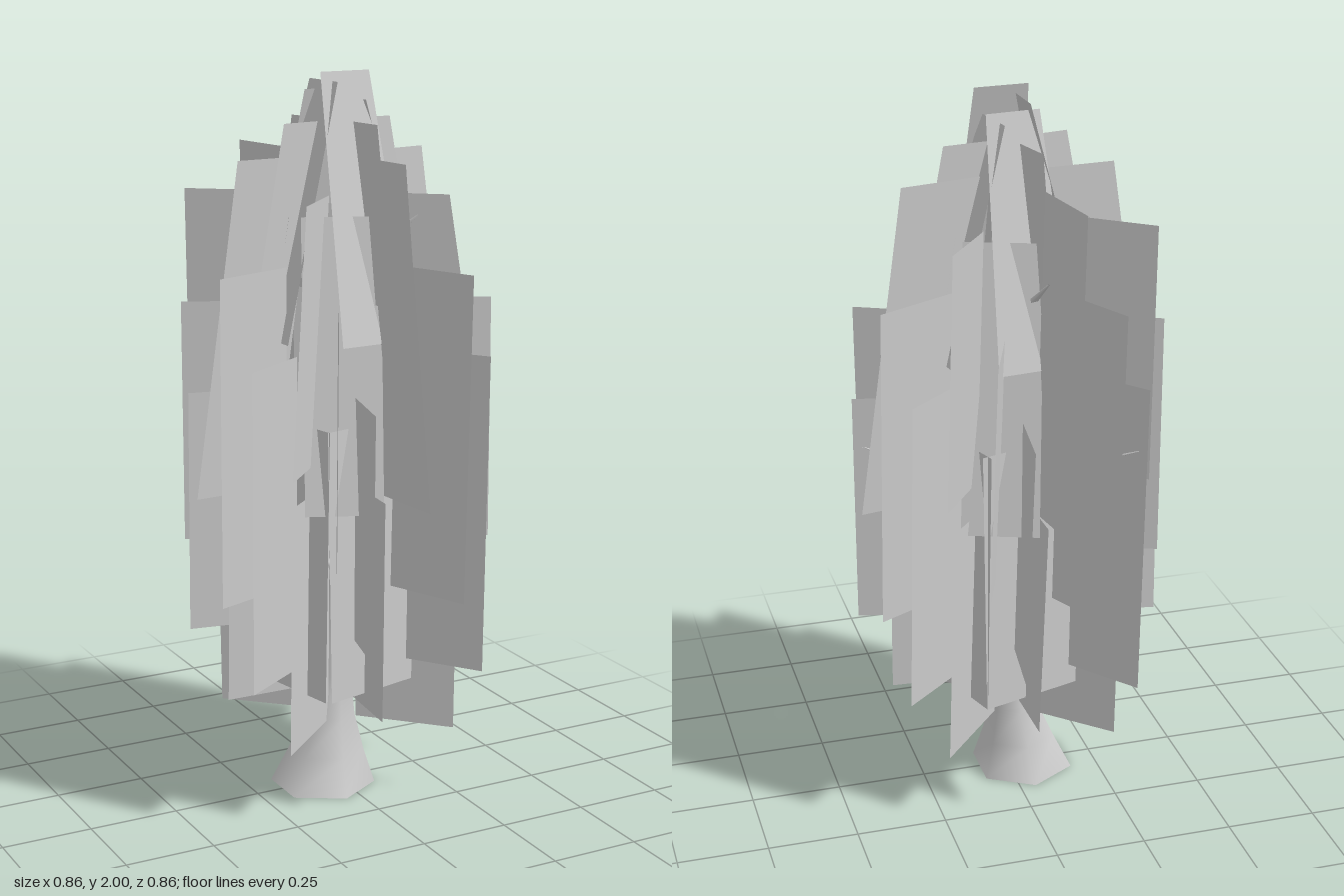
import * as THREE from 'three';

const leafMat = new THREE.MeshStandardMaterial({ color: 0xcccccc, side: THREE.DoubleSide });
const barkMat = new THREE.MeshStandardMaterial({ color: 0xcccccc, side: THREE.DoubleSide });

// flat four-cornered card, corners in order round the edge
function quad(name, corners) {
  const geo = new THREE.BufferGeometry();
  geo.setAttribute('position', new THREE.Float32BufferAttribute(corners.flat(), 3));
  geo.setIndex([0, 1, 2, 0, 2, 3]);
  geo.computeVertexNormals();
  const mesh = new THREE.Mesh(geo, leafMat);
  mesh.name = name;
  return mesh;
}

// point at radius r, height y, sideways offset t, for compass angle a
const polar = (a, r, y, t) => [
  r * Math.cos(a) - t * Math.sin(a), y, r * Math.sin(a) + t * Math.cos(a)
];

// upright card pointing away from the trunk
function radialCard(name, a, tilt, { inner, outer, y0, y1, lean = 0 }) {
  const h = tilt / 2;
  return quad(name, [
    polar(a, inner, y0, -h), polar(a, outer, y0, -h),
    polar(a, outer + lean, y1, h), polar(a, inner + lean, y1, h)
  ]);
}

// card facing outwards, across the radius
function facingCard(name, a, { r0, r1, y0, y1, w0, w1 }) {
  return quad(name, [
    polar(a, r0, y0, -w0), polar(a, r0, y0, w0), polar(a, r1, y1, w1), polar(a, r1, y1, -w1)
  ]);
}

// trunk or branch: smooth tapering rings along a bent line of [x, y, z, radius]
function limb(name, rings, sides) {
  const pos = [], idx = [];
  rings.forEach(([x, y, z, r], i) => {
    for (let j = 0; j < sides; j++) {
      const a = (j / sides) * Math.PI * 2 + Math.PI / 2;
      pos.push(x + r * Math.cos(a), y, z + r * Math.sin(a));
      if (i === 0) continue;
      const k = (j + 1) % sides, p = (i - 1) * sides, q = i * sides;
      idx.push(p + j, q + j, p + k, p + k, q + j, q + k);
    }
  });
  const geo = new THREE.BufferGeometry();
  geo.setAttribute('position', new THREE.Float32BufferAttribute(pos, 3));
  geo.setIndex(idx);
  geo.computeVertexNormals();
  const mesh = new THREE.Mesh(geo, barkMat);
  mesh.name = name;
  return mesh;
}

export function createModel() {
  const tree = new THREE.Group();
  tree.name = 'tree';

  // flared trunk
  tree.add(limb('trunk', [
    [-0.045, 0, 0, 0.147], [-0.034, 0.1, 0, 0.105], [-0.022, 0.2, 0, 0.07],
    [-0.012, 0.32, 0, 0.05], [0, 0.6, 0, 0.042], [0.02, 1.2, 0, 0.035], [0.01, 1.9, 0, 0.012]
  ], 6));

  // short tapering branches
  [[0.4, 1.05, 0], [-0.26, 1.1, -0.34], [0.2, 1.65, 0.16], [-0.22, 0.83, 0.1], [-0.04, 1.55, -0.25]]
    .forEach(([x, y, z]) => {
      tree.add(limb('branch', [[0.01, y - 0.25, 0, 0.03], [x * 0.5, y - 0.1, z * 0.5, 0.018], [x, y, z, 0.003]], 5));
    });

  // radial cards, each kind repeated at the four quarters: tip [x, z] sets the direction,
  // upright lists the quarters where a leaning kind stands straight
  const kinds = [
    { name: 'upperMiddleLeaf', tip: [0.17, 0.41], inner: 0.2, outer: 0.448, y0: 0.62, y1: 1.5 },
    { name: 'middleLeaf', tip: [0.26, 0.365], inner: 0.22, outer: 0.448, y0: 0.4, y1: 1.27 },
    { name: 'wideLeaf', tip: [0.38, 0.18], inner: 0.2, outer: 0.42, y0: 0.72, y1: 1.39 },
    { name: 'wideLowerLeaf', tip: [0.41, 0.09], inner: 0.17, outer: 0.42, y0: 0.49, y1: 1.16 },
    { name: 'lowestLeaf', tip: [0.24, 0.25], inner: 0.06, outer: 0.345, y0: 0.2, y1: 0.89 },
    { name: 'lowLeaf', tip: [0.33, 0.02], inner: 0.1, outer: 0.33, y0: 0.29, y1: 0.9 },
    { name: 'highLeaf', tip: [0.05, 0.43], inner: 0.2, outer: 0.435, y0: 0.89, y1: 1.78, lean: -0.13, upright: [2] },
    { name: 'highDiagonalLeaf', tip: [0.31, 0.27], inner: 0.2, outer: 0.415, y0: 0.98, y1: 1.68, lean: -0.11, upright: [2, 3] },
    { name: 'crownLeaf', tip: [0.2, -0.03], inner: 0.14, outer: 0.27, y0: 1.4, y1: 1.87, lean: -0.09 }
  ];
  // uneven quarter turns and sideways tilts give a natural irregularity
  const quarters = [
    { turn: 0, tilt: -0.022 }, { turn: 92, tilt: -0.005 },
    { turn: 177, tilt: -0.022 }, { turn: 265, tilt: -0.022 }
  ];
  quarters.forEach(({ turn, tilt }, q) => {
    const t = THREE.MathUtils.degToRad(turn);
    for (const kind of kinds) {
      const a = Math.atan2(kind.tip[1], kind.tip[0]) + t;
      const straight = !kind.lean || kind.upright?.includes(q);
      tree.add(radialCard(kind.name, a, straight ? tilt : -0.008, straight ? { ...kind, lean: 0 } : kind));
    }
    // tall core panels and the leaning crown panels above them
    tree.add(facingCard('corePanel', t + 1.33, { r0: 0.195, r1: 0.18, y0: 0.33, y1: 1.08, w0: 0.19, w1: 0.19 }));
    tree.add(facingCard('upperCorePanel', t + 1.97, { r0: 0.25, r1: 0.13, y0: 0.85, y1: 1.63, w0: 0.105, w1: 0.105 }));
    tree.add(facingCard('crownPanel', t + 1.5, { r0: 0.21, r1: 0.04, y0: 1.3, y1: 2 - 0.025 * q, w0: 0.11, w1: 0.075 }));
  });
  return tree;
}
